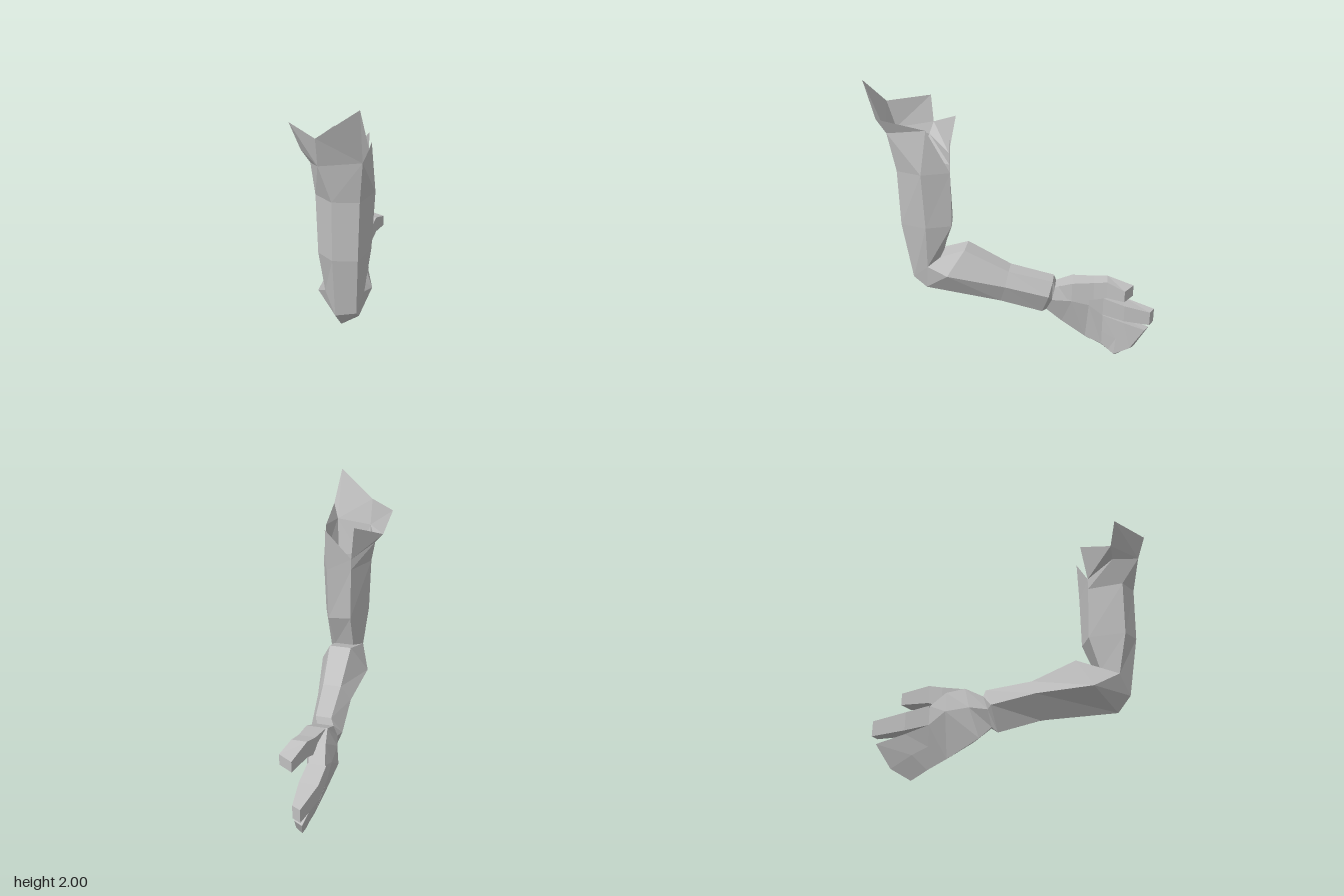
import * as THREE from 'three';

const grey = new THREE.MeshStandardMaterial({ color: 0xc0c0c0, flatShading: true, side: THREE.DoubleSide });
grey.name = 'plain grey';

// Flat-shaded mesh from outward-facing polygons, each split as a fan
function polyMesh(name, polys) {
  const pos = [];
  for (const p of polys)
    for (let i = 1; i < p.length - 1; i++) pos.push(...p[0], ...p[i], ...p[i + 1]);
  const geo = new THREE.BufferGeometry();
  geo.setAttribute('position', new THREE.Float32BufferAttribute(pos, 3));
  geo.computeVertexNormals();
  const mesh = new THREE.Mesh(geo, grey);
  mesh.name = name;
  return mesh;
}

// Skin between successive cross-sections, optionally closing the far end
function loft(name, rings, capEnd) {
  const polys = [];
  for (let r = 0; r < rings.length - 1; r++) {
    const a = rings[r], b = rings[r + 1], n = a.length;
    for (let i = 0; i < n; i++) {
      const j = (i + 1) % n;
      polys.push([b[i], b[j], a[j]], [b[i], a[j], a[i]]);
    }
  }
  if (capEnd) polys.push([...rings[rings.length - 1]].reverse());
  return polyMesh(name, polys);
}

// Six-sided section: outer (bottom/front) pair, right corner, inner (top/back) pair, left corner.
// Pairs are [x1, x2, y1, z1, y2, z2], the last two optional; single corners are [x, y, z].
const pair = ([x1, x2, y1, z1, y2 = y1, z2 = z1]) => [[x1, y1, z1], [x2, y2, z2]];
const hex = (outer, right, inner, left) => [...pair(outer), right, ...pair(inner).reverse(), left];
// Four-sided section of a finger: z may differ on the two sides
const quad = (x1, x2, y1, y2, z1, z2 = z1) => [[x1, y1, z1], [x2, y1, z2], [x2, y2, z2], [x1, y2, z1]];

export function createModel() {
  const arm = new THREE.Group();
  arm.name = 'bentArm';

  // Upper arm, elbow and forearm
  const top = hex([0.02, 0.18, 1.4, 0.8, 1.4, 0.785], [0.25, 1.4, 0.61], [0.01, 0.18, 1.4, 0.47, 1.4, 0.43], [-0.09, 1.4, 0.7]);
  const bicep = hex([0.02, 0.17, 1.02, 0.795, 1.02, 0.78], [0.23, 1.02, 0.6], [0.01, 0.17, 1.02, 0.46, 1.02, 0.435], [-0.08, 1.02, 0.7]);
  const crease = hex([0.025, 0.155, 0.6, 0.73, 0.62, 0.72], [0.19, 0.715, 0.61], [0, 0.14, 0.77, 0.53], [-0.05, 0.73, 0.65]);
  const elbow = hex([0.05, 0.16, 0.485, 0.645, 0.545, 0.63], [0.225, 0.665, 0.47], [-0.02, 0.14, 0.83, 0.36], [-0.13, 0.61, 0.46]);
  const middle = hex([0, 0.1, 0.405, 0.12, 0.435, 0.12], [0.155, 0.57, 0.08], [-0.02, 0.11, 0.67, 0.06], [-0.09, 0.56, 0.08]);
  const wrist = hex([-0.04, 0.06, 0.305, -0.16, 0.345, -0.17], [0.12, 0.49, -0.22], [-0.03, 0.08, 0.595, -0.245], [-0.1, 0.47, -0.21]);
  const cuff = hex([-0.04, 0.05, 0.34, -0.2, 0.36, -0.2], [0.08, 0.45, -0.24], [-0.05, 0.07, 0.545, -0.26], [-0.07, 0.45, -0.23]);
  arm.add(loft('upperArm', [top, bicep, crease]));
  arm.add(loft('forearm', [crease, elbow, middle, wrist, cuff]));

  // Torn, open shoulder edge with slits at the back
  const [f1, f2, r, b2, b1, l] = top;
  const f1u = [-0.05, 1.63, 0.835], f2u = [0.2, 1.66, 0.83], lu = [-0.13, 1.57, 0.63];
  const notch = [-0.05, 1.81, 0.89], spike = [0.2, 2, 0.96], spikeSide = [0.24, 1.76, 0.88];
  const rightTip = [0.22, 1.69, 0.57], backTip = [0.19, 1.7, 0.42], slit = [0.01, 1.48, 0.47];
  const backTip2 = [-0.02, 1.73, 0.42], leftLow = [-0.19, 1.64, 0.61], leftTip = [-0.25, 1.81, 0.635];
  arm.add(polyMesh('tornShoulder', [
    [f1, f2, f2u, f1u], [f1u, f2u, notch], [f2u, spike, notch], [f2u, spikeSide, spike],
    [f2, r, f2u], [r, rightTip, f2u], [f2u, rightTip, spikeSide], [r, b2, rightTip],
    [b2, b1, slit, backTip], [b1, l, lu, slit], [slit, lu, leftLow, backTip2],
    [l, f1, f1u, lu], [lu, f1u, leftLow], [f1u, notch, leftTip, leftLow],
  ]));

  // Palm
  const knuckles = hex([-0.01, 0.05, 0.06, -0.6, 0.1, -0.6], [0.045, 0.33, -0.6], [-0.08, 0.03, 0.46, -0.6], [-0.09, 0.33, -0.6]);
  arm.add(loft('palm', [
    cuff,
    hex([-0.09, 0.03, 0.25, -0.28, 0.26, -0.31], [0.1, 0.46, -0.38], [-0.04, 0.08, 0.6, -0.38], [-0.1, 0.45, -0.35]),
    hex([-0.04, 0.04, 0.125, -0.48, 0.15, -0.48], [0.07, 0.42, -0.5], [-0.06, 0.05, 0.56, -0.5], [-0.1, 0.42, -0.5]),
    knuckles,
  ], true));

  // Joined lower fingers
  arm.add(loft('lowerFingers', [
    hex([-0.01, 0.05, 0.06, -0.6, 0.1, -0.6], [0.047, 0.2, -0.6], [-0.09, 0.045, 0.33, -0.6], [-0.05, 0.2, -0.6]),
    hex([0.01, 0.05, 0.03, -0.65, 0.055, -0.65], [0.055, 0.15, -0.7], [-0.05, 0.05, 0.28, -0.75], [-0.03, 0.15, -0.7]),
    hex([0.025, 0.06, 0, -0.7, 0.025, -0.69], [0.06, 0.08, -0.8], [-0.02, 0.04, 0.22, -0.93, 0.225, -0.9], [0.01, 0.07, -0.83]),
  ], true));

  // Index finger and thumb
  arm.add(loft('indexFinger', [
    quad(-0.09, 0.035, 0.33, 0.46, -0.6),
    quad(-0.08, 0.05, 0.295, 0.415, -0.75),
    quad(-0.02, 0.04, 0.27, 0.37, -0.96, -0.93),
  ], true));
  arm.add(loft('thumb', [
    quad(-0.04, 0.06, 0.47, 0.54, -0.25),
    quad(-0.03, 0.105, 0.47, 0.6, -0.38),
    quad(0, 0.115, 0.49, 0.62, -0.53),
    quad(0.03, 0.135, 0.52, 0.64, -0.62),
    quad(0.08, 0.18, 0.52, 0.6, -0.8, -0.74),
  ], true));
  return arm;
}
